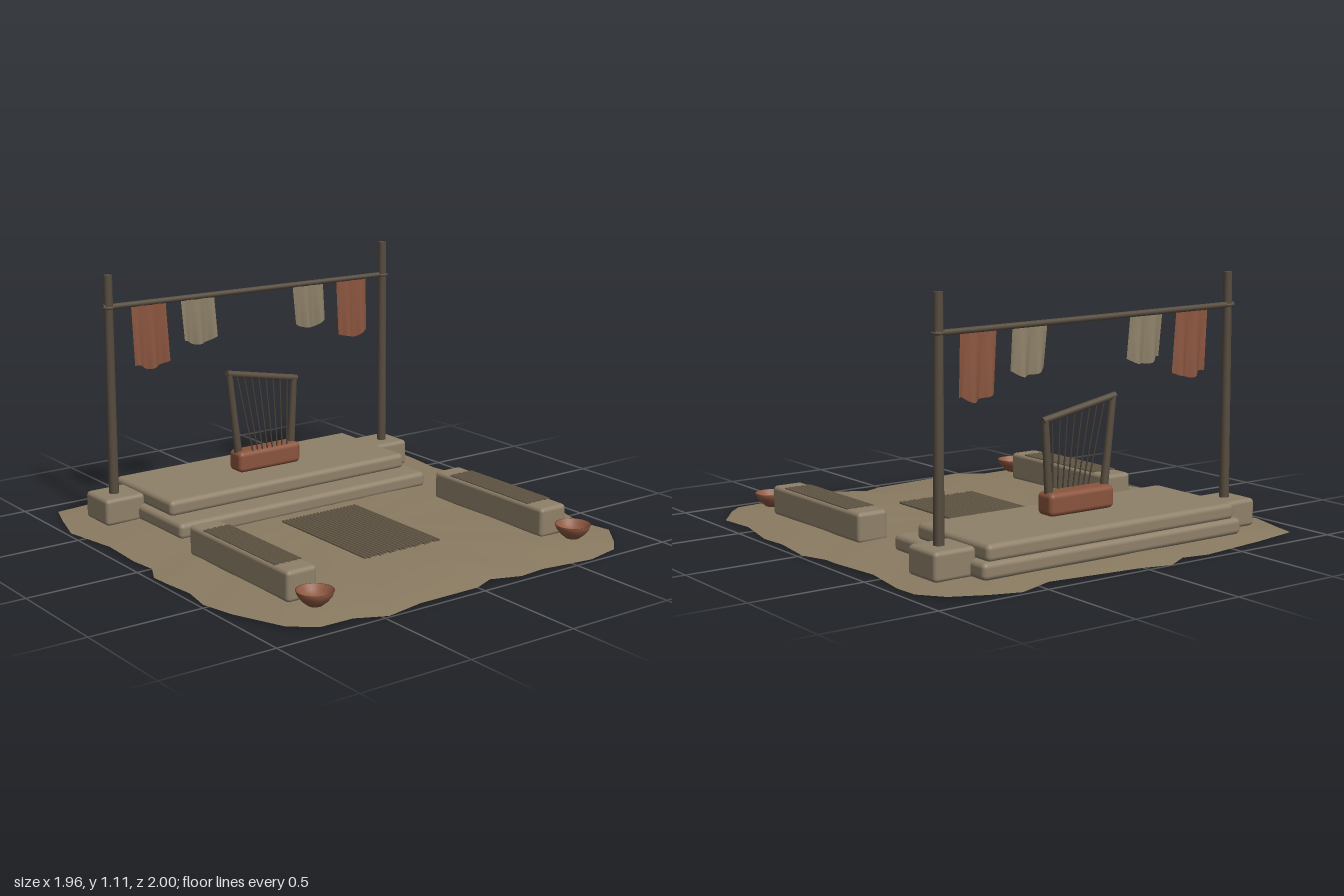
import * as THREE from 'three';
import { RoundedBoxGeometry } from 'three/addons/geometries/RoundedBoxGeometry.js';

const mat = (name, color, side = THREE.FrontSide) => {
  const m = new THREE.MeshStandardMaterial({ color, side });
  m.name = name;
  return m;
};

export function createModel() {
  const model = new THREE.Group();
  model.name = 'stageSet';
  const earth = mat('earth', 0x8b7b62, THREE.DoubleSide);
  const stone = mat('stone', 0x8f816a);
  const wood = mat('darkWood', 0x574c3f);
  const reed = mat('reed', 0x695d4a);
  const clay = mat('clay', 0x8f5a42, THREE.DoubleSide);
  const lyreWood = mat('redWood', 0x8a543d);
  const rust = mat('rustCloth', 0x8c563f, THREE.DoubleSide);
  const linen = mat('linenCloth', 0x8d8169, THREE.DoubleSide);
  const string = mat('string', 0x4a4238);

  const add = (name, geometry, material, parent = model) => {
    const mesh = new THREE.Mesh(geometry, material);
    mesh.name = name;
    parent.add(mesh);
    return mesh;
  };
  const group = (name) => {
    const g = new THREE.Group();
    g.name = name;
    model.add(g);
    return g;
  };
  // rounded block given by its limits on each axis
  const block = (name, [x0, x1], [y0, y1], [z0, z1], r, material, parent) => {
    const mesh = add(name, new RoundedBoxGeometry(x1 - x0, y1 - y0, z1 - z0, 3, r), material, parent);
    mesh.position.set((x0 + x1) / 2, (y0 + y1) / 2, (z0 + z1) / 2);
    return mesh;
  };
  // round rod between two points
  const rod = (name, a, b, r0, r1, material, parent, sides = 12) => {
    const p = new THREE.Vector3(...a), q = new THREE.Vector3(...b);
    const d = q.clone().sub(p);
    const mesh = add(name, new THREE.CylinderGeometry(r1, r0, d.length(), sides), material, parent);
    mesh.position.copy(p).add(q).multiplyScalar(0.5);
    mesh.quaternion.setFromUnitVectors(new THREE.Vector3(0, 1, 0), d.normalize());
    return mesh;
  };

  // ground: ragged outline, shrunk in rings towards a slightly raised middle
  const outline = [
    [-0.89, -0.89], [-0.68, -0.92], [-0.56, -0.93], [-0.34, -0.97], [-0.22, -0.95], [-0.12, -1],
    [0.02, -0.965], [0.27, -0.95], [0.44, -0.925], [0.6, -0.975], [0.73, -0.94], [0.88, -0.88],
    [0.95, -0.77], [0.95, -0.65], [0.92, -0.44], [0.95, -0.2], [0.94, -0.12], [0.98, 0],
    [0.96, 0.2], [0.97, 0.33], [0.91, 0.58], [0.93, 0.75], [0.83, 0.88], [0.76, 0.95],
    [0.6, 0.98], [0.35, 0.955], [0.22, 0.97], [0.1, 0.915], [0, 0.955], [-0.3, 0.965],
    [-0.48, 1], [-0.6, 0.93], [-0.75, 0.93], [-0.86, 0.86], [-0.95, 0.63], [-0.98, 0.47],
    [-0.96, 0.34], [-0.98, 0.2], [-0.98, 0.1], [-0.93, 0], [-0.95, -0.11], [-0.94, -0.33],
    [-0.98, -0.6], [-0.93, -0.77],
  ];
  const rings = 8, n = outline.length;
  const pos = [0, 0.026, 0], index = [];
  for (let k = 1; k <= rings; k++) {
    const t = k / rings;
    outline.forEach(([x, z], i) => {
      const bump = 0.003 * Math.sin(i * 1.7 + k) * t;
      pos.push(x * t, 0.004 + 0.022 * (1 - t ** 6) + bump, z * t);
      const j = (i + 1) % n, a = 1 + (k - 1) * n;
      if (k === 1) index.push(0, 1 + j, 1 + i);
      else index.push(a - n + i, a - n + j, a + i, a - n + j, a + j, a + i);
    });
  }
  const ground = new THREE.BufferGeometry();
  ground.setAttribute('position', new THREE.Float32BufferAttribute(pos, 3));
  ground.setIndex(index);
  ground.computeVertexNormals();
  add('ground', ground, earth);

  // two-step platform
  block('lowerStep', [-0.672, 0.668], [0.015, 0.086], [-0.82, -0.195], 0.022, stone);
  block('upperStep', [-0.643, 0.638], [0.08, 0.151], [-0.805, -0.318], 0.022, stone);

  // footing blocks, posts, benches with reed covers, and bowls on both sides
  const bowlProfile = [[0, 0.03], [0.03, 0.03], [0.052, 0.048], [0.068, 0.068], [0.077, 0.09],
    [0.071, 0.09], [0.06, 0.068], [0.042, 0.05], [0, 0.042]].map(([x, y]) => new THREE.Vector2(x, y));
  for (const s of [-1, 1]) {
    const side = s < 0 ? 'right' : 'left';
    const c = s * 0.735;
    block(side + 'Footing', [c - 0.097, c + 0.097], [0.015, 0.135], [-0.732, -0.543], 0.018, stone);
    rod(side + 'Post', [s * 0.745, 0.12, -0.632], [s * 0.742, 1.107, -0.632], 0.022, 0.019, wood);

    const b = s * 0.659 - 0.004;
    block(side + 'Bench', [b - 0.072, b + 0.072], [0.015, 0.145], [-0.025, 0.69], 0.018, stone);
    const cover = group(side + 'BenchCover');
    for (let i = 0; i < 12; i++) {
      const x = b + (i - 5.5) * 0.0108;
      const z = 0.004 * Math.sin(i * 2.3);
      rod('reed', [x, 0.146, 0.075 + z], [x, 0.146, 0.592 + z], 0.0046, 0.0046, reed, cover, 6);
    }
    add(side + 'Bowl', new THREE.LatheGeometry(bowlProfile, 32), clay).position.set(s * 0.675, 0, 0.787);
  }

  // reed mat on the ground
  const reedMat = group('reedMat');
  for (let i = 0; i < 22; i++) {
    const x = -0.199 + i * 0.0184;
    rod('reed', [x, 0.034, -0.112], [x, 0.034, 0.482 + 0.005 * Math.sin(i * 1.9)],
      0.0068, 0.0068, reed, reedMat, 6);
  }

  // slightly sagging line rod between the posts, with end knobs
  const barStart = [-0.768, 0.967, -0.636], barEnd = [0.762, 0.95, -0.636];
  rod('bannerRod', barStart, barEnd, 0.013, 0.012, wood);
  for (const s of [-1, 1]) {
    const knot = add('rodLashing', new THREE.TorusGeometry(0.022, 0.006, 8, 20), wood);
    knot.rotation.x = Math.PI / 2;
    knot.position.set(s * 0.743, s < 0 ? 0.966 : 0.95, -0.632);
  }

  // hanging cloths: a plane rippled in depth with a scalloped hem
  const cloth = (name, x0, width, hem, material, phase) => {
    const g = new THREE.PlaneGeometry(1, 1, 20, 10);
    const p = g.attributes.position;
    for (let i = 0; i < p.count; i++) {
      const u = p.getX(i) + 0.5, v = 0.5 - p.getY(i);
      const x = x0 + u * width + v * 0.012;
      const top = 0.958 - 0.011 * (x + 0.77);
      const bottom = hem + 0.012 * Math.cos(u * Math.PI * 2) + 0.004 * Math.sin(u * 13 + phase);
      p.setXYZ(i, x, top + (bottom - top) * v,
        -0.621 + (0.003 + 0.009 * v) * Math.sin(u * 14 + phase));
    }
    g.computeVertexNormals();
    add(name, g, material);
  };
  cloth('outerClothRight', -0.638, 0.172, 0.682, rust, 0);
  cloth('innerClothRight', -0.388, 0.174, 0.758, linen, 1);
  cloth('innerClothLeft', 0.213, 0.174, 0.758, linen, 2);
  cloth('outerClothLeft', 0.463, 0.174, 0.682, rust, 3);

  // lyre: sound box, two arms, slanted yoke and fanned strings
  const lyre = group('lyre');
  block('soundBox', [-0.172, 0.164], [0.153, 0.25], [-0.586, -0.488], 0.022, lyreWood, lyre);
  rod('lyreArm', [-0.15, 0.235, -0.538], [-0.197, 0.615, -0.535], 0.018, 0.015, wood, lyre);
  rod('lyreArm', [0.14, 0.235, -0.538], [0.157, 0.548, -0.535], 0.018, 0.015, wood, lyre);
  rod('yoke', [-0.208, 0.616, -0.535], [0.17, 0.544, -0.535], 0.015, 0.015, wood, lyre);
  for (let i = 0; i < 8; i++) {
    const t = i / 7;
    const topX = -0.162 + t * 0.275;
    rod('string', [-0.095 + t * 0.187, 0.245, -0.502], [topX, 0.578 - topX * 0.19, -0.526],
      0.0033, 0.0033, string, lyre, 6);
  }
  return model;
}
